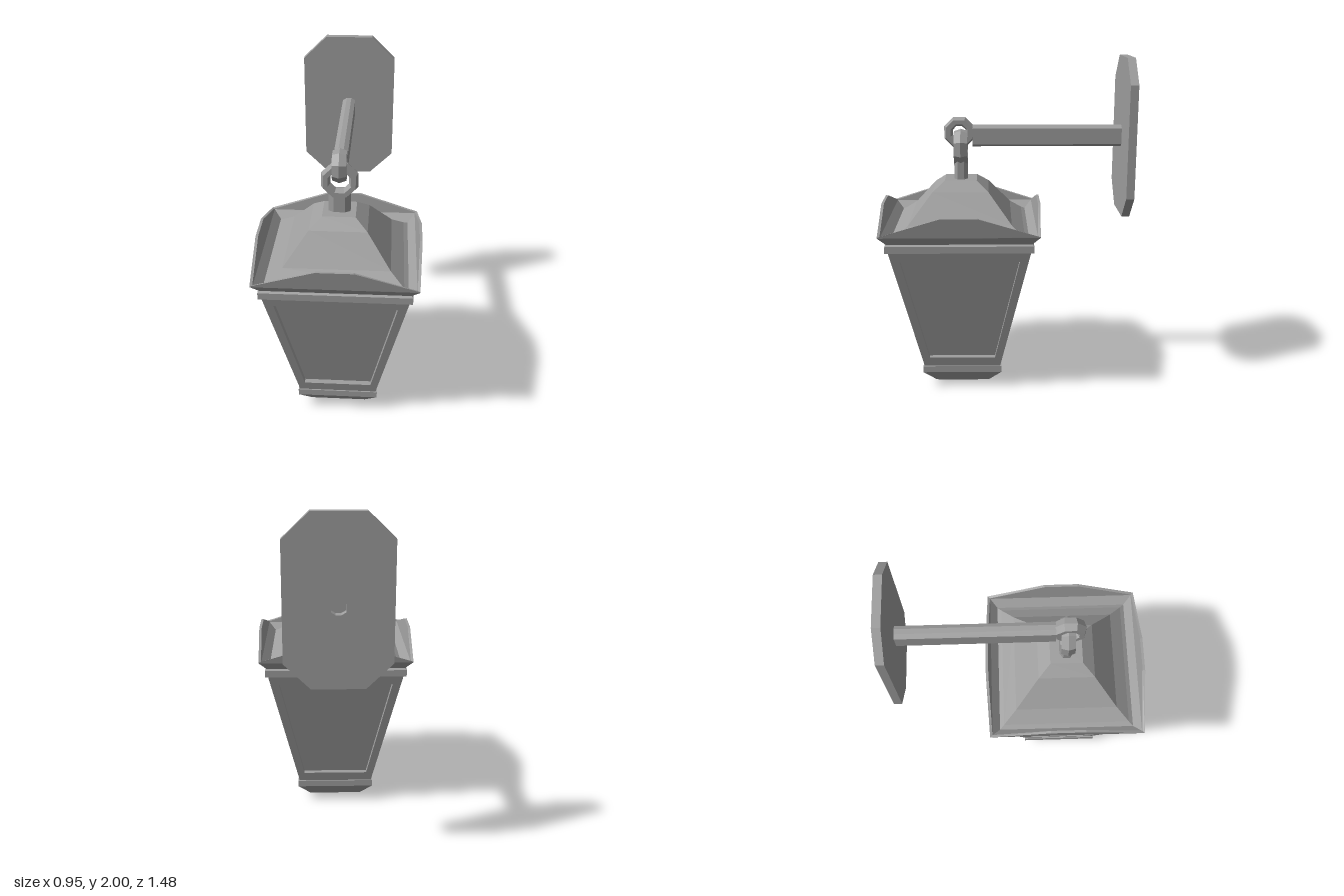
import * as THREE from 'three';

const material = new THREE.MeshStandardMaterial({ color: 0x9e9e9e, flatShading: true });

function add(parent, name, geometry, x = 0, y = 0, z = 0) {
  const mesh = new THREE.Mesh(geometry, material);
  mesh.name = name;
  mesh.position.set(x, y, z);
  parent.add(mesh);
  return mesh;
}

// Square-plan body from a profile of [half width, height] pairs
const squareLoft = (profile) =>
  new THREE.LatheGeometry(profile.map(([h, y]) => new THREE.Vector2(h * Math.SQRT2, y)), 4, Math.PI / 4);

// Rectangle with cut corners, as corner points
function cutCorners(w, h, cutX, cutY) {
  return [
    [w - cutX, -h], [w, cutY - h], [w, h - cutY], [w - cutX, h],
    [cutX - w, h], [-w, h - cutY], [-w, cutY - h], [cutX - w, -h],
  ].map(([x, y]) => new THREE.Vector2(x, y));
}

const extrude = (shape, depth) => new THREE.ExtrudeGeometry(shape, { depth, bevelEnabled: false });

// Half width of the tapering lantern body at height y
const Y0 = 0.145, Y1 = 0.93;
const bodyHalf = (y) => THREE.MathUtils.mapLinear(y, Y0, Y1, 0.232, 0.409);

// One sloping window frame, mitred at the corners
function windowFrame(depth) {
  const quad = (b, yb, t, yt) => [[-b, yb], [b, yb], [t, yt], [-t, yt]].map(([x, y]) => new THREE.Vector2(x, y));
  const shape = new THREE.Shape(quad(bodyHalf(Y0), Y0, bodyHalf(Y1), Y1));
  shape.holes.push(new THREE.Path(quad(0.2, 0.205, 0.345, 0.87)));
  const geometry = extrude(shape, depth);
  const p = geometry.attributes.position;
  for (let i = 0; i < p.count; i++) {
    const half = bodyHalf(p.getY(i));
    const inset = depth - p.getZ(i);
    if (Math.abs(p.getX(i)) > half * 0.98) p.setX(i, Math.sign(p.getX(i)) * (half - inset));
    p.setZ(i, half - inset);
  }
  geometry.computeVertexNormals();
  return geometry;
}

// One thin, outward-leaning rim board with an arched top
function rimBoard() {
  const geometry = new THREE.PlaneGeometry(1, 1, 3, 3);
  const p = geometry.attributes.position;
  const across = [-1, -0.22, 0.22, 1];
  for (let i = 0; i < p.count; i++) {
    const u = across[i % 4];
    const middle = Math.abs(u) < 1 ? 1 : 0;
    const top = 1.035 + 0.11 * middle;
    const rows = [[0.444, 1.03], [0.445 + 0.015 * middle, top], [0.459 + 0.016 * middle, top], [0.458, 1.03]];
    const [half, y] = rows[Math.floor(i / 4)];
    p.setXYZ(i, u * half, y, half);
  }
  geometry.computeVertexNormals();
  return geometry;
}

// Eight-sided link with a flattened hexagonal section
function link(radius, halfWidth) {
  const thickness = 0.028;
  return new THREE.TorusGeometry(radius - thickness, thickness, 6, 8)
    .rotateZ(Math.PI / 8)
    .scale(1, 1, halfWidth / (thickness * Math.sin(Math.PI / 3)));
}

export function createModel() {
  const model = new THREE.Group();
  model.name = 'wallLantern';

  // Wall plate with a slot at the back of the arm
  const slot = cutCorners(0.04, 0.0625, 0.025, 0.015);
  const plate = new THREE.Shape(cutCorners(0.29, 0.465, 0.145, 0.14));
  plate.holes.push(new THREE.Path(slot));
  add(model, 'wallPlate', extrude(plate, 0.047), 0, 1.535, -0.745);

  // Arm and its end ring
  add(model, 'arm', extrude(new THREE.Shape(slot), 0.89), 0, 1.535, -0.7);
  add(model, 'armRing', link(0.097, 0.04).rotateY(Math.PI / 2), 0, 1.555, 0.268);

  // Hanging lantern
  const lantern = new THREE.Group();
  lantern.name = 'lantern';
  lantern.position.z = 0.26;
  model.add(lantern);

  add(lantern, 'hangingRing', link(0.113, 0.04), 0, 1.465, 0);
  const stem = new THREE.Shape(cutCorners(0.0625, 0.04, 0.03, 0.02));
  add(lantern, 'stem', extrude(stem, 0.13).rotateX(-Math.PI / 2), 0, 1.27, 0);

  add(lantern, 'base', squareLoft([
    [0, 0], [0.13, 0], [0.165, 0.02], [0.24, 0.105], [0.24, 0.145], [0.2, 0.145],
  ]));

  // Glass core set behind the four frames
  const inset = 0.035;
  add(lantern, 'panes', squareLoft([[bodyHalf(Y0) - inset, Y0], [bodyHalf(Y1) - inset, Y1]]));
  add(lantern, 'cornice', squareLoft([
    [0.36, 0.93], [0.425, 0.93], [0.425, 0.97], [0.415, 0.98], [0.458, 1.03],
  ]));

  // Sloping gutter inside the rim, then the roof
  add(lantern, 'roof', squareLoft([
    [0, 1.28], [0.095, 1.28], [0.165, 1.225], [0.3, 1.06], [0.375, 1.0], [0.4, 0.985], [0.444, 1.03],
  ].reverse()));
  for (let i = 0; i < 4; i++) {
    add(lantern, 'windowFrame', windowFrame(inset)).rotation.y = (i * Math.PI) / 2;
    add(lantern, 'rimBoard', rimBoard()).rotation.y = (i * Math.PI) / 2;
  }

  return model;
}
